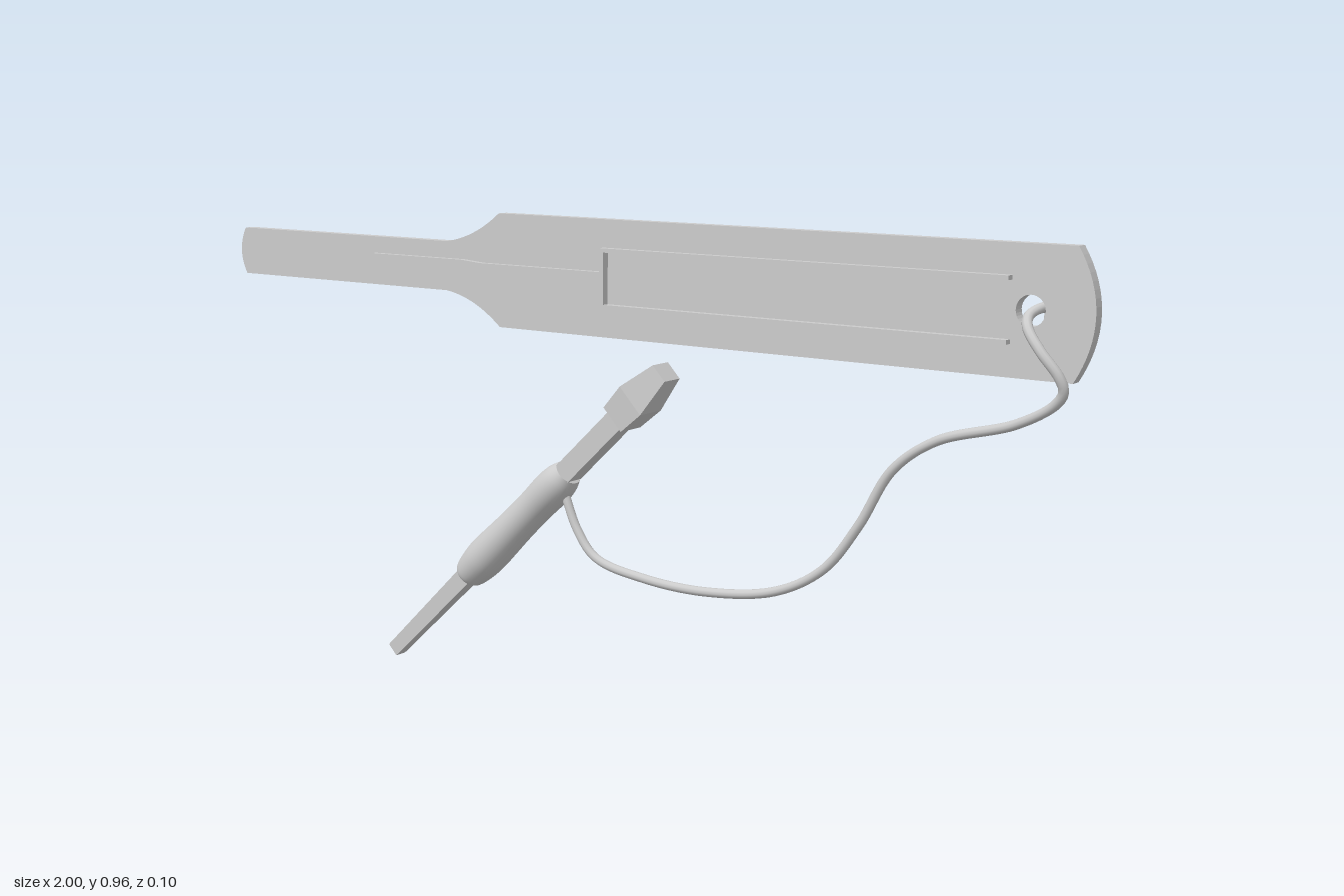
import * as THREE from 'three';

const mat = () => new THREE.MeshStandardMaterial({ color: 0xcccccc });
const flat = () => new THREE.MeshStandardMaterial({ color: 0xcccccc, flatShading: true });

function add(parent, name, geometry, material = flat()) {
  const mesh = new THREE.Mesh(geometry, material);
  mesh.name = name;
  parent.add(mesh);
  return mesh;
}

// Plate between two z levels
function plate(shape, z0, z1) {
  const g = new THREE.ExtrudeGeometry(shape, { depth: z1 - z0, bevelEnabled: false, curveSegments: 16 });
  return g.translate(0, 0, z0);
}

// Rectangular bar along y through sections [y, halfX, halfZ]
function taperedBar(sections) {
  const n = sections.length - 1;
  const g = new THREE.BoxGeometry(2, n, 2, 1, n, 1);
  const p = g.attributes.position;
  for (let i = 0; i < p.count; i++) {
    const [y, hx, hz] = sections[Math.round(p.getY(i) + n / 2)];
    p.setXYZ(i, p.getX(i) * hx, y, p.getZ(i) * hz);
  }
  g.computeVertexNormals();
  return g;
}

export function createModel() {
  const model = new THREE.Group();
  model.name = 'paddleAndTool';
  const cy = 0.85;

  // Paddle board with narrow grip, bowed ends and cord hole
  const board = new THREE.Shape();
  board.moveTo(-0.985, cy - 0.05);
  board.lineTo(-0.4, cy - 0.05);
  board.quadraticCurveTo(-0.325, cy - 0.06, -0.26, cy - 0.115);
  board.lineTo(0.965, cy - 0.115);
  board.quadraticCurveTo(1.035, cy, 0.965, cy + 0.112);
  board.lineTo(-0.26, cy + 0.112);
  board.quadraticCurveTo(-0.325, cy + 0.06, -0.4, cy + 0.05);
  board.lineTo(-0.985, cy + 0.05);
  board.quadraticCurveTo(-1.015, cy, -0.985, cy - 0.05);
  const hole = new THREE.Path();
  hole.absarc(0.885, cy, 0.027, 0, Math.PI * 2, true);
  board.holes.push(hole);
  add(model, 'board', plate(board, -0.023, 0));

  // Raised tongue on the grip
  const tongue = new THREE.Shape([
    [-0.595, 0.834], [-0.35, 0.834], [-0.3, 0.838], [0, 0.838],
    [0, 0.862], [-0.3, 0.862], [-0.35, 0.866], [-0.595, 0.866],
  ].map(([x, y]) => new THREE.Vector2(x, y)));
  add(model, 'tongue', plate(tongue, -0.005, 0.013));

  // Raised three-sided frame, open towards the hole
  const frame = new THREE.Shape([
    [0, 0.792], [0.85, 0.792], [0.85, 0.8], [0.01, 0.8],
    [0.01, 0.9], [0.85, 0.9], [0.85, 0.908], [0, 0.908],
  ].map(([x, y]) => new THREE.Vector2(x, y)));
  add(model, 'frame', plate(frame, -0.005, 0.015));

  // Cord looping through the hole and hanging to the tool
  const path = [
    [0.9, 0.808, -0.026], [0.902, 0.83, -0.036], [0.9, 0.852, -0.038], [0.893, 0.853, -0.018],
    [0.885, 0.843, 0.005], [0.895, 0.825, 0.03], [0.925, 0.79, 0.043], [0.957, 0.75, 0.038],
    [0.963, 0.725, 0.03], [0.945, 0.7, 0.022], [0.87, 0.658, 0.01], [0.72, 0.612, 0.003],
    [0.635, 0.55, 0], [0.57, 0.44, 0], [0.5, 0.35, 0], [0.4, 0.293, 0], [0.25, 0.267, 0],
    [0.1, 0.27, 0], [-0.02, 0.295, 0], [-0.065, 0.345, 0], [-0.1, 0.425, 0],
  ].map(a => new THREE.Vector3(...a));
  const curve = new THREE.CatmullRomCurve3(path);
  add(model, 'cord', new THREE.TubeGeometry(curve, 180, 0.009, 10), mat());
  const cordEnd = add(model, 'cordEnd', new THREE.SphereGeometry(0.009, 10, 8), mat());
  cordEnd.position.copy(path[0]);

  // Tool, built along its own y axis and tilted
  const tool = new THREE.Group();
  tool.name = 'tool';
  tool.position.set(-0.553, 0.019, -0.002);
  tool.rotation.z = THREE.MathUtils.degToRad(43.4 - 90);
  model.add(tool);

  add(tool, 'blade', taperedBar([[-0.01, 0.015, 0.014], [0.35, 0.019, 0.018]]));
  add(tool, 'neck', taperedBar([[0.58, 0.021, 0.021], [0.84, 0.021, 0.021]]));
  add(tool, 'head', taperedBar([[0.82, 0.03, 0.032], [0.88, 0.035, 0.034], [0.963, 0.02, 0.025]]));

  // Rounded handle with a slight waist
  const sections = new THREE.SplineCurve([
    [0.027, 0.275], [0.036, 0.285], [0.043, 0.32], [0.045, 0.36], [0.041, 0.45],
    [0.04, 0.52], [0.042, 0.58], [0.039, 0.615], [0.03, 0.64],
  ].map(([r, y]) => new THREE.Vector2(r, y))).getPoints(40);
  const handle = add(tool, 'handle', new THREE.LatheGeometry(sections, 32), mat());
  handle.scale.x = 0.92;

  // Flat handle ends
  for (const [y, r, turn] of [[0.275, 0.027, 1], [0.64, 0.03, -1]]) {
    const cap = add(tool, 'handleEnd', new THREE.CircleGeometry(r, 32), mat());
    cap.rotation.x = turn * Math.PI / 2;
    cap.position.y = y;
    cap.scale.x = 0.92;
  }
  return model;
}
